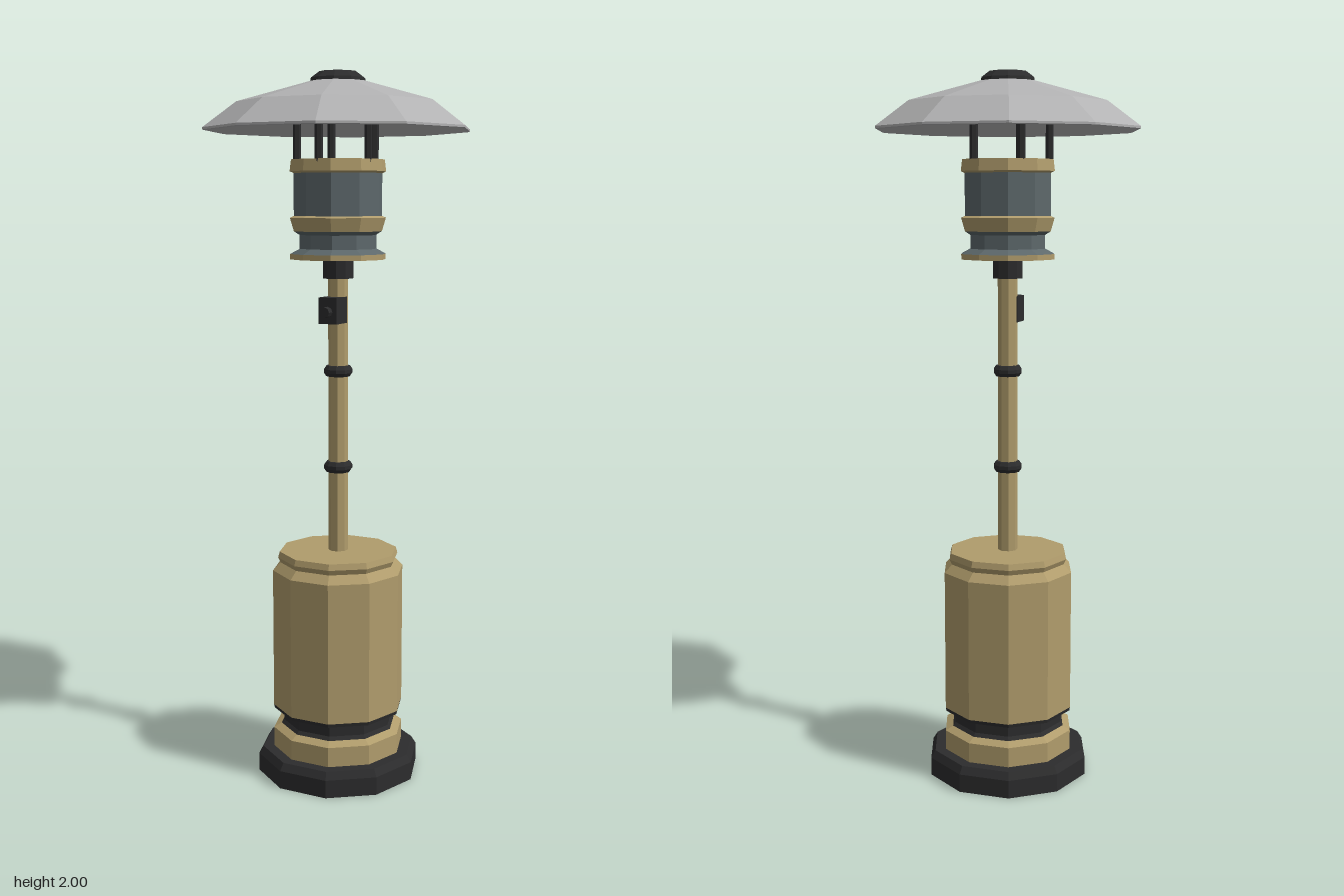
import * as THREE from 'three';

const SIDES = 10;

export function createModel() {
  const model = new THREE.Group();
  model.name = 'patioHeater';

  const paint = (name, color) => {
    const m = new THREE.MeshStandardMaterial({ color });
    m.name = name;
    return m;
  };
  const bronze = paint('bronze', 0xb09c6c);
  const black = paint('black', 0x2c2c2d);
  const slate = paint('slate', 0x5d686b);
  const steel = paint('steel', 0xb2b2b3);

  // Faceted mesh: every face keeps its own flat normal
  const add = (name, geometry, material, x = 0, y = 0, z = 0) => {
    const flat = geometry.index ? geometry.toNonIndexed() : geometry;
    flat.computeVertexNormals();
    const mesh = new THREE.Mesh(flat, material);
    mesh.name = name;
    mesh.position.set(x, y, z);
    model.add(mesh);
    return mesh;
  };

  // Turned part from [radius, height] pairs, listed bottom to top on the outside
  const turn = (name, material, points, sides = SIDES, start = Math.PI / 2) =>
    add(name, new THREE.LatheGeometry(
      points.map(([r, y]) => new THREE.Vector2(r, y)), sides, start), material);

  // Base and gas tank housing
  turn('base', black, [[0, 0], [0.235, 0], [0.235, 0.052], [0.222, 0.073], [0, 0.073]]);
  turn('lowerHousing', bronze, [[0.19, 0.07], [0.19, 0.13], [0.168, 0.142], [0, 0.142]]);
  turn('housingGroove', black, [
    [0.168, 0.142], [0.16, 0.152], [0.16, 0.185], [0.188, 0.19], [0.19, 0.2],
  ]);
  turn('tankHousing', bronze, [
    [0.19, 0.2], [0.19, 0.605], [0.168, 0.628], [0.175, 0.643], [0.17, 0.66], [0, 0.66],
  ]);

  // Pole with its joint rings and top collar
  turn('pole', bronze, [[0.028, 0.65], [0.028, 1.45]], 8, Math.PI / 8);
  for (const y of [0.905, 1.18]) {
    turn('poleRing', black, [
      [0.026, y - 0.016], [0.034, y - 0.015], [0.041, y - 0.005],
      [0.041, y + 0.005], [0.034, y + 0.015], [0.026, y + 0.016],
    ]);
  }
  turn('collar', black, [[0, 1.44], [0.043, 1.44], [0.043, 1.495]]);

  // Control box and knob
  add('controlBox', new THREE.BoxGeometry(0.056, 0.073, 0.065), black, 0, 1.353, 0.0325);
  const knob = new THREE.CylinderGeometry(0.015, 0.015, 0.022, 8);
  knob.rotateX(Math.PI / 2);
  add('knob', knob, black, 0, 1.35, 0.075);

  // Burner head
  turn('burnerFlange', bronze, [[0, 1.493], [0.135, 1.493], [0.135, 1.508]]);
  turn('burnerNeck', slate, [
    [0.135, 1.508], [0.108, 1.522], [0.108, 1.56], [0.124, 1.57],
  ]);
  turn('burnerLowerBand', bronze, [[0.124, 1.57], [0.135, 1.607], [0.124, 1.612]]);
  turn('burnerScreen', slate, [[0.124, 1.61], [0.124, 1.73]]);
  turn('burnerUpperBand', bronze, [
    [0.124, 1.728], [0.135, 1.733], [0.131, 1.765], [0, 1.765],
  ]);

  // Five posts holding the reflector, one at the front
  for (let i = 0; i < 5; i++) {
    const a = (i / 5) * Math.PI * 2;
    add('reflectorPost', new THREE.CylinderGeometry(0.011, 0.011, 0.2, 6), black,
      0.115 * Math.sin(a), 1.855, 0.115 * Math.cos(a));
  }

  // Reflector hood, inner surface first and then the outside
  turn('reflector', steel, [
    [0.04, 1.966], [0.275, 1.907], [0.366, 1.841], [0.372, 1.843],
    [0.372, 1.849], [0.279, 1.918], [0.06, 1.979],
  ]);
  turn('reflectorCap', black, [
    [0, 1.952], [0.072, 1.952], [0.077, 1.974], [0.075, 1.983], [0.052, 2], [0, 2],
  ]);

  return model;
}
